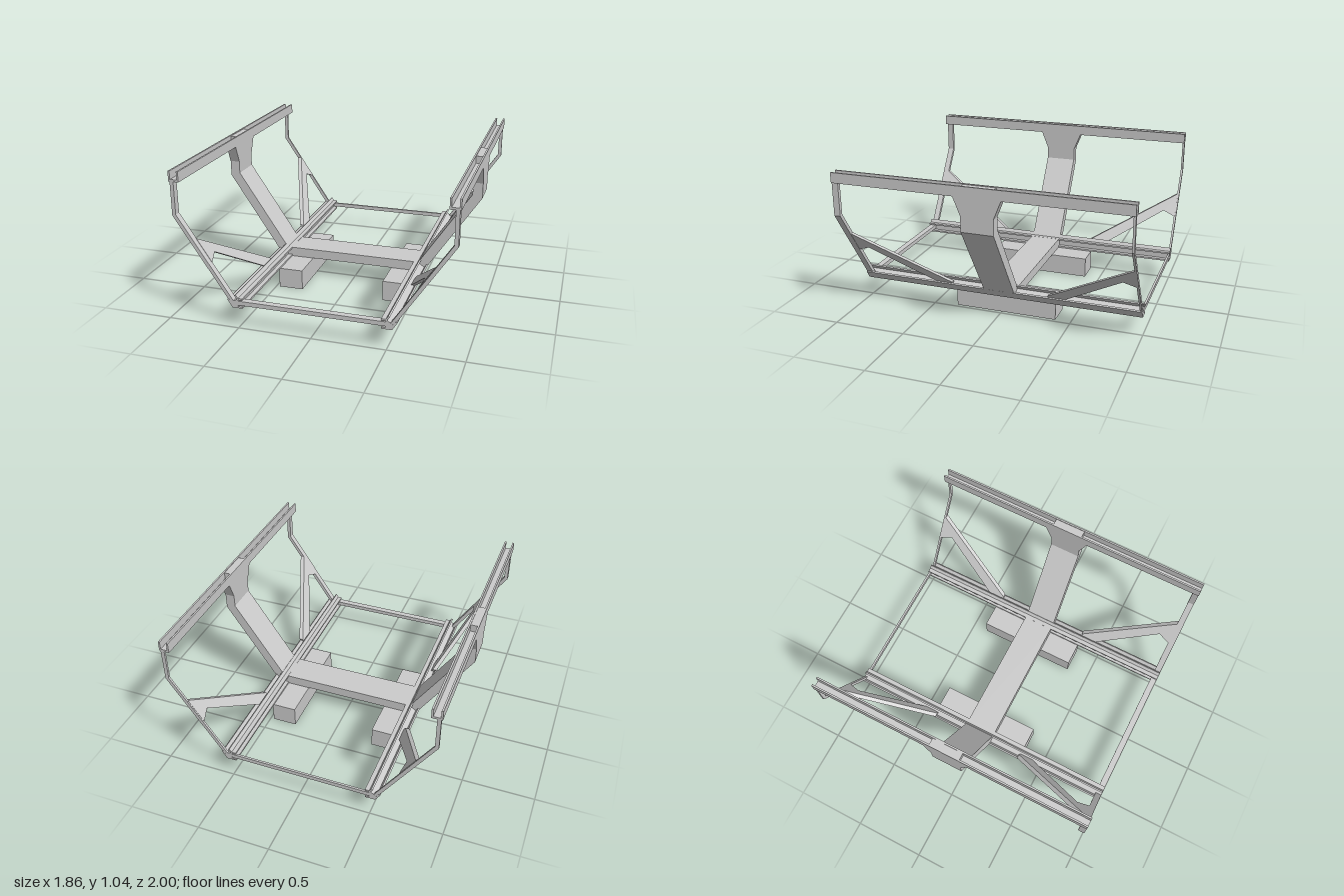
import * as THREE from 'three';

const material = new THREE.MeshStandardMaterial({ color: 0xcccccc, flatShading: true });

function mesh(name, geometry) {
  const m = new THREE.Mesh(geometry, material);
  m.name = name;
  return m;
}

const shapeOf = (pts) => new THREE.Shape(pts.map(([x, y]) => new THREE.Vector2(x, y)));

// Extrude an x-y outline from z0 to z1
function alongZ(pts, z0, z1) {
  const g = new THREE.ExtrudeGeometry(shapeOf(pts), { depth: z1 - z0, bevelEnabled: false });
  return g.translate(0, 0, z0);
}

// Add the mirrored half to a right-hand outline, making one closed shape
const mirrored = (pts) => [...pts, ...pts.map(([x, y]) => [-x, y]).reverse()];

// x on the sloping side at height y, a distance d in from its outer face
const slopeX = (y, d) => 0.535 + 0.664 * (y - 0.145) - 1.2 * d;

// Half outline of a bent frame: floor, sloping side, upright top
function frameHalf(y0, y1, d0, d1, top) {
  return [
    [slopeX(y0, d0), y0], [0.93 - d0, 0.74 + 0.3 * d0], [0.93 - d0, top],
    [0.93 - d1, top], [0.93 - d1, 0.74 + 0.3 * d1], [slopeX(y1, d1), y1],
  ];
}

// Plate drawn in z-y whose thickness runs inward from the outer face
function sidePlate(pts, d0, d1, xAt) {
  const g = new THREE.ExtrudeGeometry(shapeOf(pts), { depth: 1, bevelEnabled: false });
  const p = g.attributes.position;
  for (let i = 0; i < p.count; i++) {
    const z = p.getX(i), y = p.getY(i), d = d0 + (d1 - d0) * p.getZ(i);
    p.setXYZ(i, xAt(y, d), y, z);
  }
  g.computeVertexNormals();
  return g;
}

function createSide() {
  const side = new THREE.Group();

  // Upper rail: channel open at the top
  side.add(mesh('upperRail', alongZ([
    [0.86, 0.97], [0.93, 0.97], [0.93, 1.04], [0.918, 1.04],
    [0.918, 0.985], [0.872, 0.985], [0.872, 1.04], [0.86, 1.04],
  ], -1, 1)));

  // Lower rail: one slot faces the floor, the other faces up the slope
  side.add(mesh('lowerRail', alongZ([
    [0.465, 0.145], [0.535, 0.145], [0.57, 0.199], [0.56, 0.206],
    [0.543, 0.181], [0.503, 0.207], [0.52, 0.232], [0.51, 0.238],
    [0.495, 0.215], [0.465, 0.215], [0.465, 0.203], [0.495, 0.203],
    [0.495, 0.157], [0.465, 0.157],
  ], -1, 1)));

  // Flared head of the centre rib under the upper rail
  side.add(mesh('ribHead', sidePlate([
    [-0.125, 0.847], [0.095, 0.847], [0.145, 0.97], [-0.175, 0.97],
  ], 0, 0.07, (y, d) => 0.93 - d)));

  // Diagonal braces lying in the sloping side
  const braces = {
    frontBrace: [[0.34, 0.19], [0.43, 0.19], [0.87, 0.465], [0.96, 0.43], [0.96, 0.585], [0.33, 0.215]],
    backBrace: [[-0.36, 0.19], [-0.46, 0.19], [-0.9, 0.465], [-0.99, 0.43], [-0.99, 0.585], [-0.36, 0.215]],
  };
  for (const [name, pts] of Object.entries(braces)) {
    side.add(mesh(name, sidePlate(pts, 0.01, 0.035, slopeX)));
  }

  // Foot block
  const foot = mesh('footBlock', new THREE.BoxGeometry(0.175, 0.145, 0.725));
  foot.position.set(0.3875, 0.0725, -0.0275);
  side.add(foot);
  return side;
}

export function createModel() {
  const model = new THREE.Group();
  model.name = 'cradleFrame';

  // Wide centre rib and the two slim end frames
  model.add(mesh('centreRib', alongZ(mirrored(frameHalf(0.146, 0.214, 0.001, 0.069, 1.035)), -0.125, 0.095)));
  const endOutline = mirrored(frameHalf(0.165, 0.195, 0.008, 0.033, 0.98));
  model.add(mesh('frontFrame', alongZ(endOutline, 0.955, 0.999)));
  model.add(mesh('backFrame', alongZ(endOutline, -0.999, -0.984)));

  // Left and right sides
  for (const s of [1, -1]) {
    const side = createSide();
    side.name = s > 0 ? 'leftSide' : 'rightSide';
    side.scale.x = s;
    model.add(side);
  }
  return model;
}
